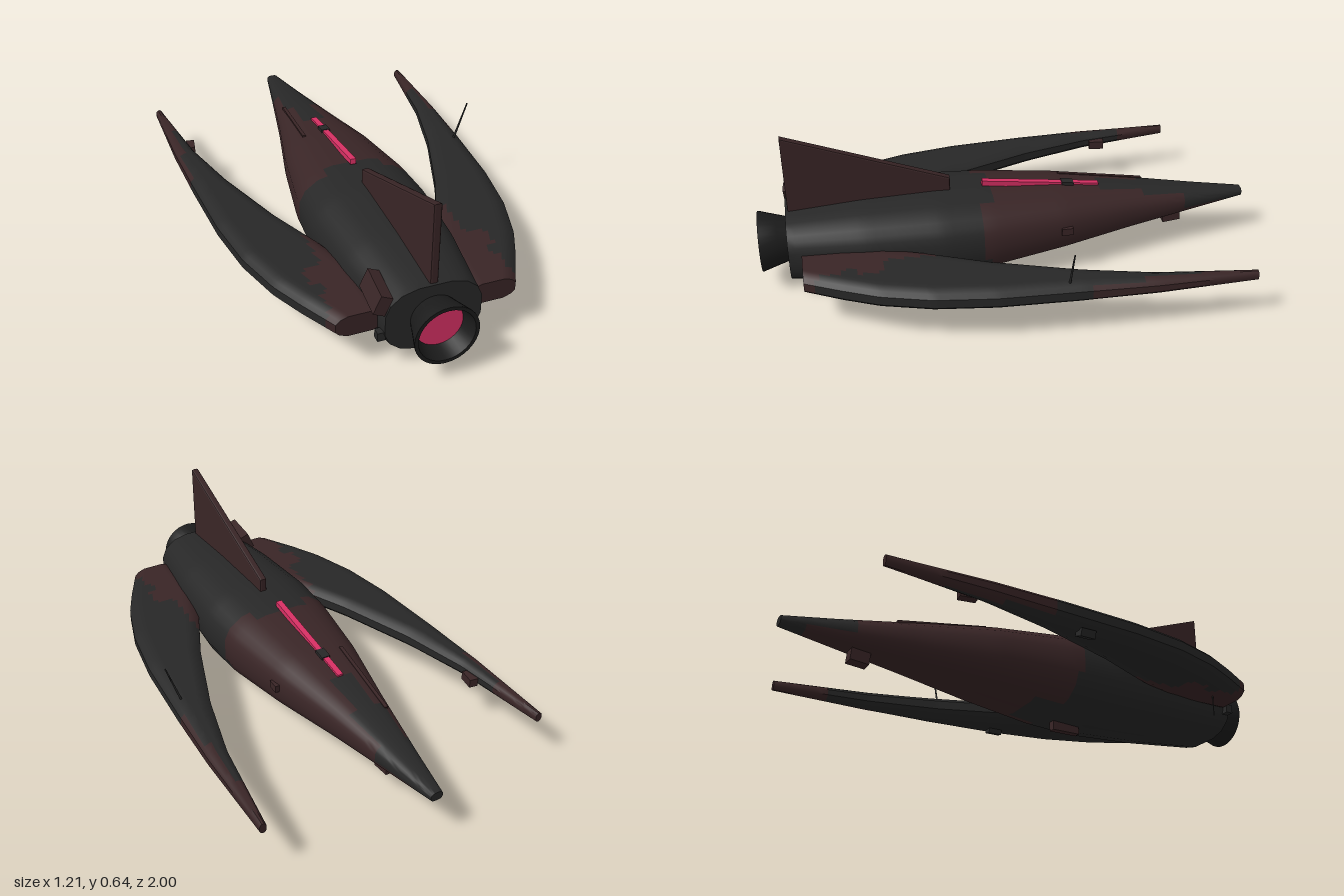
import * as THREE from 'three';
import { toCreasedNormals } from 'three/addons/utils/BufferGeometryUtils.js';

const mat = (name, color, side = THREE.FrontSide) => {
  const m = new THREE.MeshStandardMaterial({ color, side });
  m.name = name;
  return m;
};

// Linear lookup in a list of [z, value, value...] knots
function sample(knots, z) {
  let i = 0;
  while (i < knots.length - 2 && z > knots[i + 1][0]) i++;
  const a = knots[i], b = knots[i + 1];
  const t = (z - a[0]) / (b[0] - a[0]);
  return a.slice(1).map((v, k) => v + (b[k + 1] - v) * t);
}

// Closed loft through rings (counter-clockwise seen from +z, running towards +z);
// pick(centre, strip) gives the material index of each quad
function loft(rings, pick, crease) {
  const n = rings[0].length, last = rings.length - 1;
  const lists = [[], []];
  const id = (i, j) => i * n + (j % n);
  for (let i = 0; i < last; i++) {
    for (let j = 0; j < n; j++) {
      const c = rings[i][j].clone().add(rings[i + 1][(j + 1) % n]).multiplyScalar(0.5);
      const a = id(i, j), b = id(i, j + 1), d = id(i + 1, j), e = id(i + 1, j + 1);
      lists[pick(c)].push(a, b, e, a, e, d);
    }
  }
  const c0 = pick(rings[0][0]), c1 = pick(rings[last][0]);
  for (let j = 1; j < n - 1; j++) {
    lists[c0].push(id(0, 0), id(0, j + 1), id(0, j));
    lists[c1].push(id(last, 0), id(last, j), id(last, j + 1));
  }
  const g = new THREE.BufferGeometry().setFromPoints(rings.flat());
  g.setIndex(lists.flat());
  g.addGroup(0, lists[0].length, 0);
  g.addGroup(lists[0].length, lists[1].length, 1);
  return toCreasedNormals(g, crease);
}

const range = (a, b, n) => Array.from({ length: n + 1 }, (_, i) => a + (b - a) * i / n);

export function createModel() {
  const ship = new THREE.Group();
  ship.name = 'ship';
  const grey = mat('charcoal', 0x272727);
  const brown = mat('darkBrown', 0x392526);
  const black = mat('engineBlack', 0x1b1b1b, THREE.DoubleSide);
  const pink = mat('glowPink', 0xd83064);
  const camo = [grey, brown];

  const add = (name, geo, material, pos = [0, 0, 0], rot = [0, 0, 0]) => {
    const m = new THREE.Mesh(geo, material);
    m.name = name;
    m.position.set(...pos);
    m.rotation.set(...rot);
    ship.add(m);
    return m;
  };
  const box = (name, size, pos, rot, material = brown) =>
    add(name, new THREE.BoxGeometry(...size), material, pos, rot);

  // Hull: [z, half width, bottom, top]
  const hull = [
    [-1, 0.025, 0.175, 0.21], [-0.8, 0.062, 0.15, 0.236], [-0.5, 0.12, 0.113, 0.28],
    [-0.2, 0.187, 0.076, 0.32], [0.1, 0.234, 0.042, 0.343], [0.3, 0.243, 0.03, 0.352],
    [0.6, 0.222, 0.042, 0.345], [0.89, 0.18, 0.065, 0.325],
  ];
  const quarter = [[1, 0.3], [0.9, 0.62], [0.67, 0.88], [0.33, 1]];
  const half = [...quarter, ...quarter.map(([x, y]) => [-x, y]).reverse()];
  // each facet is split in two so the paint edges can step
  const corners = [...half, ...half.map(([x, y]) => [-x, -y])];
  const outline = corners.flatMap((p, i) => {
    const q = corners[(i + 1) % corners.length];
    return [p, [(p[0] + q[0]) / 2, (p[1] + q[1]) / 2]];
  });
  const hullRings = range(-1, 0.89, 63).map((z) => {
    const [w, lo, hi] = sample(hull, z);
    return outline.map(([x, y]) => new THREE.Vector3(x * w, (lo + hi) / 2 + y * (hi - lo) / 2, z));
  });
  const hullPaint = (c) => {
    const [w, lo, hi] = sample(hull, c.z);
    const across = Math.abs(c.x) / w;
    const above = c.y > lo + (hi - lo) * 0.4;
    if (!above) return c.z > -0.9 && c.z < (across > 0.5 ? 0.12 : -0.02) ? 1 : 0;
    if (c.z > (across > 0.5 ? 0.13 : 0.08) || c.z < -0.74) return 0;
    return c.z > -0.38 || across > (c.z < -0.55 ? 0.7 : 0.4) ? 1 : 0;
  };
  add('hull', loft(hullRings, hullPaint, 0.5), camo);

  // Swept wings: [z, inner x, outer x, half thickness]
  const wing = [
    [-0.84, 0.575, 0.602, 0.02], [-0.45, 0.523, 0.602, 0.034], [-0.17, 0.453, 0.59, 0.044],
    [0.15, 0.342, 0.57, 0.045], [0.38, 0.24, 0.535, 0.045], [0.57, 0.17, 0.477, 0.045],
    [0.7, 0.165, 0.415, 0.045], [0.84, 0.16, 0.34, 0.042],
  ];
  const wingPaint = (c) => {
    const x = Math.abs(c.x);
    const [inner, outer] = sample(wing, c.z);
    if (c.z < -0.62 || c.z > 0.8) return 1;
    if (c.z < -0.2) return x > inner + (outer - inner) * (c.z < -0.4 ? 0.55 : 0.8) ? 1 : 0;
    if (c.z < 0.28) return 0;
    const edge = c.z < 0.55 ? 0.285 : c.z < 0.64 ? 0.36 : c.z < 0.7 ? 0.32 : 0.345;
    return x < edge ? 1 : 0;
  };
  for (const side of [1, -1]) {
    const rings = range(-0.84, 0.84, 84).map((z) => {
      const [a, b, t] = sample(wing, z);
      const e = Math.min(0.045, (b - a) * 0.35);
      const top = [[b, 0.4], [b - e * 0.35, 0.75]];
      for (let k = 0; k <= 10; k++) top.push([b - e - (b - a - 2 * e) * k / 10, 1]);
      top.push([a + e * 0.35, 0.75], [a, 0.4]);
      const loop = [...top, ...top.map(([x, y]) => [x, -y]).reverse()];
      const ring = loop.map(([x, y]) => new THREE.Vector3(side * x, 0.192 + y * t, z));
      return side > 0 ? ring : ring.reverse();
    });
    add(side > 0 ? 'leftWing' : 'rightWing', loft(rings, wingPaint, 0.6), camo);
  }

  // Tail fin
  const fin = new THREE.Shape([[0.246, 0.3], [0.874, 0.3], [0.874, 0.638], [0.246, 0.4]]
    .map(([z, y]) => new THREE.Vector2(z, y)));
  const finGeo = new THREE.ExtrudeGeometry(fin, {
    depth: 0.016, bevelEnabled: true, bevelThickness: 0.008, bevelSize: 0.006, bevelSegments: 2,
  });
  finGeo.translate(0, 0, -0.008);
  add('tailFin', finGeo, brown, [0, 0, 0], [0, -Math.PI / 2, 0]);

  // Engine bell, rim and glow
  const bell = [[0.085, -0.01], [0.1, 0.04], [0.12, 0.105], [0.12, 0.11], [0.106, 0.11], [0.088, 0.045]]
    .map(([r, z]) => new THREE.Vector2(r, z));
  add('engineBell', toCreasedNormals(new THREE.LatheGeometry(bell, 32), 0.6), black,
    [0, 0.192, 0.89], [Math.PI / 2, 0, 0]);
  add('engineRim', new THREE.TorusGeometry(0.117, 0.003, 6, 32), brown, [0, 0.192, 0.997]);
  add('engineGlow', new THREE.CircleGeometry(0.09, 32), pink, [0, 0.192, 0.936]);

  // Glowing spine strip
  box('spineLight', [0.024, 0.022, 0.485], [0, 0.328, -0.13], [-0.135, 0, 0], pink);
  box('spineClip', [0.036, 0.024, 0.05], [0, 0.315, -0.24], [-0.135, 0, 0], grey);

  // Hull fittings
  box('deckRail', [0.014, 0.024, 0.36], [-0.082, 0.278, -0.4], [-0.14, -0.06, 0]);
  box('sideBlock', [0.03, 0.03, 0.045], [0.185, 0.21, -0.2]);
  box('rearPod', [0.045, 0.075, 0.16], [-0.185, 0.29, 0.815], [0, -0.08, -0.4]);
  box('rearClip', [0.03, 0.035, 0.03], [-0.19, 0.15, 0.87], [0, 0, 0], grey);
  box('bellyBlock', [0.028, 0.04, 0.12], [0.04, 0.022, 0.21]);
  box('noseBlock', [0.05, 0.05, 0.075], [0, 0.115, -0.695], [0.1, 0, 0]);

  // Wing fittings
  box('rightWingPod', [0.035, 0.035, 0.065], [-0.52, 0.185, -0.51], [0, -0.15, 0]);
  box('rightWingBlock', [0.04, 0.03, 0.06], [-0.535, 0.142, -0.05], [0, 0, 0.35], grey);
  box('leftWingBlock', [0.035, 0.03, 0.06], [0.5, 0.145, 0.13], [0, 0, 0.25], grey);
  box('leftRootBlock', [0.045, 0.03, 0.12], [0.262, 0.15, 0.49]);

  // Antennas
  const antenna = (name, from, to, r) => {
    const a = new THREE.Vector3(...from), b = new THREE.Vector3(...to);
    const m = add(name, new THREE.CylinderGeometry(r * 0.6, r, a.distanceTo(b), 6), grey,
      a.clone().add(b).multiplyScalar(0.5).toArray());
    m.quaternion.setFromUnitVectors(new THREE.Vector3(0, 1, 0), b.sub(a).normalize());
  };
  antenna('upperAntenna', [0.548, 0.22, -0.12], [0.606, 0.39, -0.12], 0.005);
  antenna('lowerAntenna', [-0.282, 0.16, 0.72], [-0.282, 0.065, 0.72], 0.003);

  return ship;
}
